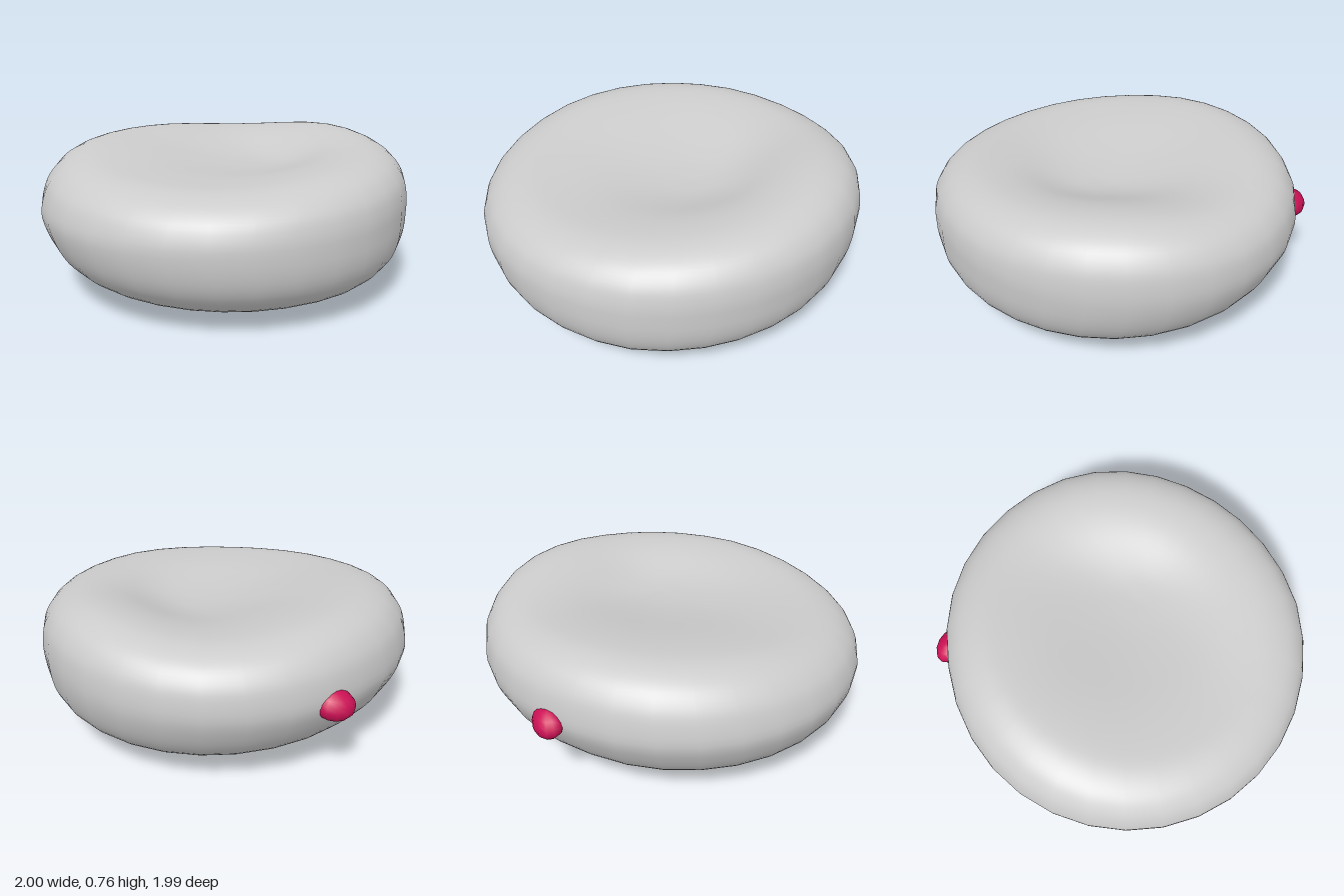
import * as THREE from 'three';
import { mergeVertices } from 'three/addons/utils/BufferGeometryUtils.js';

// Weld seams and poles so the shading runs smoothly all the way round
function weld(geometry) {
  geometry.deleteAttribute('uv');
  geometry.deleteAttribute('normal');
  const welded = mergeVertices(geometry, 1e-4);
  welded.computeVertexNormals();
  return welded;
}

const MID = 0.42;      // height of the widest girth
const MEAN_RIM = 0.71; // rim height of the plain profile

// Rim heights every 45 degrees, from +x round by the front (+z)
const RIM = [0.757, 0.723, 0.688, 0.65, 0.672, 0.728, 0.738, 0.715];

function rimHeight(angle) {
  const t = ((angle / (Math.PI * 2)) * RIM.length + RIM.length) % RIM.length;
  const i = Math.floor(t), f = t - i;
  const [a, b, c, d] = [-1, 0, 1, 2].map(k => RIM[(i + k + RIM.length) % RIM.length]);
  return b + 0.5 * f * (c - a + f * (2 * a - 5 * b + 4 * c - d + f * (3 * (b - c) + d - a)));
}

// Round cushion: a turned profile with a wavy rim and a shallow sag on top
function bodyGeometry() {
  const profile = new THREE.SplineCurve([
    [0, 0], [0.3, 0.006], [0.55, 0.034], [0.75, 0.09], [0.88, 0.168], [0.96, 0.275],
    [1, 0.42], [0.985, 0.54], [0.945, 0.615], [0.88, 0.67], [0.78, 0.704],
    [0.66, 0.707], [0.5, 0.688], [0.3, 0.647], [0.15, 0.624], [0, 0.616],
  ].map(([x, y]) => new THREE.Vector2(x, y))).getPoints(56);
  profile.forEach(p => p.set(Math.max(0, p.x), Math.max(0, p.y)));

  const geometry = new THREE.LatheGeometry(profile, 32);
  const pos = geometry.attributes.position;
  for (let i = 0; i < pos.count; i++) {
    const x = pos.getX(i), z = pos.getZ(i);
    const r = Math.hypot(x, z), angle = Math.atan2(z, x);
    // Fuller towards the back on the +x side
    const swell = 1 - 0.022 * Math.max(0, Math.cos(angle)) * Math.sin(angle) * 2;
    let y = pos.getY(i), shiftX = 0, shiftZ = 0.03;
    if (y > MID) {
      const w = THREE.MathUtils.smoothstep(r, 0, 0.75);
      const rim = THREE.MathUtils.lerp(MEAN_RIM, rimHeight(angle), w);
      shiftX = 0.1 * (y - MID); // top leans to the high side
      if (y > 0.6) { // the sag is deepest a little off centre
        shiftX += 0.12 * (1 - w);
        shiftZ += 0.1 * (1 - w);
      }
      y = MID + (y - MID) * (rim - MID) / (MEAN_RIM - MID);
    } else {
      shiftZ += 0.2 * (MID - y); // underside leans forward
    }
    pos.setXYZ(i, x * swell + shiftX, y, z * swell * 0.96 + shiftZ);
  }
  return weld(geometry);
}

// Small uneven knob, blunt outside and drooping to one side
function knobGeometry() {
  const geometry = new THREE.SphereGeometry(1, 12, 8);
  const pos = geometry.attributes.position;
  for (let i = 0; i < pos.count; i++) {
    const x = pos.getX(i), y = pos.getY(i), z = pos.getZ(i);
    pos.setXYZ(i, x * 0.092, y * 0.07 + z * 0.015, z * 0.08 + x * 0.022);
  }
  return weld(geometry);
}

export function createModel() {
  const group = new THREE.Group();

  const body = new THREE.Mesh(bodyGeometry(), new THREE.MeshStandardMaterial({ color: 0xcccccc }));
  body.name = 'cushion';

  const knob = new THREE.Mesh(knobGeometry(), new THREE.MeshStandardMaterial({ color: 0xcc1155 }));
  knob.name = 'knob';
  knob.position.set(0.16, 0.43, -0.914);

  group.add(body, knob);
  return group;
}
